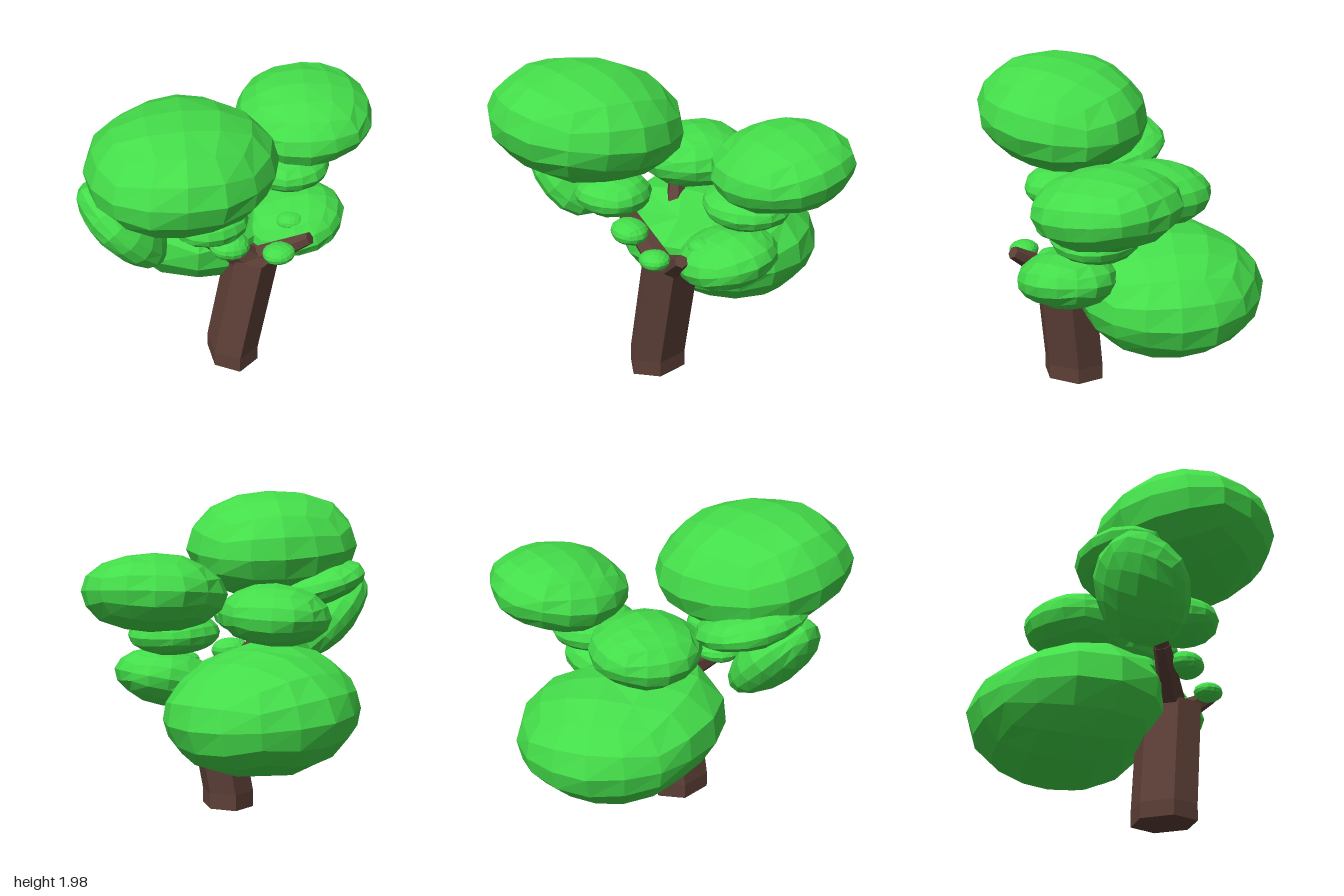
import * as THREE from 'three';
import { mergeVertices } from 'three/addons/utils/BufferGeometryUtils.js';

const bark = new THREE.MeshStandardMaterial({ color: 0x5d4037, flatShading: true });
const leaf = new THREE.MeshStandardMaterial({ color: 0x44dd4a, flatShading: true });
const up = new THREE.Vector3(0, 1, 0);
const bulgeDir = new THREE.Vector3(-0.32, 0.45, 0.83).normalize();

// Gently lumpy sphere made from a subdivided cube, optionally swollen on one side
function leafGeometry(radii, seed, bulge) {
  let geo = new THREE.BoxGeometry(2, 2, 2, 4, 4, 4);
  geo.deleteAttribute('normal');
  geo.deleteAttribute('uv');
  geo = mergeVertices(geo);
  const p = geo.attributes.position;
  const v = new THREE.Vector3();
  for (let i = 0; i < p.count; i++) {
    v.fromBufferAttribute(p, i);
    v.set(...v.toArray().map((c) => Math.tan(c * Math.PI / 4))).normalize();
    const lump = 1 + 0.025 * Math.sin(v.x * 4 + seed * 2.1) * Math.cos(v.z * 5 + v.y * 3 + seed);
    v.applyAxisAngle(up, seed * 0.7);
    const size = lump + bulge * Math.max(0, v.dot(bulgeDir)) ** 3;
    p.setXYZ(i, v.x * radii[0] * size, v.y * radii[1] * size, v.z * radii[2] * size);
  }
  geo.computeVertexNormals();
  return geo;
}

// Tapered limb between two points
function limb(name, from, to, r0, r1) {
  const a = new THREE.Vector3(...from), b = new THREE.Vector3(...to);
  const dir = b.clone().sub(a);
  const mesh = new THREE.Mesh(new THREE.CylinderGeometry(r1, r0, dir.length(), 6), bark);
  mesh.position.copy(a).add(b).multiplyScalar(0.5);
  mesh.quaternion.setFromUnitVectors(up, dir.normalize());
  mesh.name = name;
  return mesh;
}

export function createModel() {
  const tree = new THREE.Group();
  tree.name = 'tree';

  // Hexagonal trunk: short upright foot, then a lean towards +x
  const trunkGeo = new THREE.CylinderGeometry(0.205, 0.205, 0.8, 6, 2);
  const p = trunkGeo.attributes.position;
  for (let i = 0; i < p.count; i++) {
    const y = p.getY(i);
    const lean = y > 0.2 ? 0.1 : -0.03;
    p.setXYZ(i, p.getX(i) * 0.79 + lean, Math.abs(y) < 0.01 ? 0.1 : y + 0.4, p.getZ(i) + 0.205);
  }
  trunkGeo.computeVertexNormals();
  const trunk = new THREE.Mesh(trunkGeo, bark);
  trunk.name = 'trunk';
  tree.add(trunk);

  // Branches reaching into the foliage
  tree.add(
    limb('leftBranch', [0.15, 0.77, 0.25], [0.4, 0.97, 0.4], 0.08, 0.04),
    limb('rightBranch', [0.06, 0.76, 0.25], [-0.26, 1.04, 0.27], 0.085, 0.055),
    limb('rightUpperBranch', [-0.24, 1.02, 0.27], [-0.52, 1.3, 0.27], 0.05, 0.025),
    limb('backBranch', [0.0, 0.74, 0.1], [-0.22, 1.18, -0.15], 0.08, 0.05),
  );

  // Foliage: name, centre, radii, [pitch, yaw, roll], one-sided swelling
  const clumps = [
    ['frontCrown', [-0.39, 1.64, 0.44], [0.59, 0.345, 0.535], [-0.1, Math.PI / 4, -0.05]],
    ['leftCrown', [0.545, 1.42, -0.29], [0.43, 0.235, 0.435], [0.12, 0, 0.05]],
    ['backCrown', [-0.07, 0.7, -0.445], [0.59, 0.365, 0.56], [0, 0, -0.06], 0.36],
    ['backUpperClump', [-0.2, 1.265, -0.28], [0.34, 0.19, 0.345], [0, 0, 0.05]],
    ['rightHangingClump', [-0.71, 1.19, 0.29], [0.345, 0.165, 0.29], [0, 0, -0.85]],
    ['rightFlatClump', [-0.6, 1.4, 0.2], [0.33, 0.13, 0.35], [0, 0, -0.28]],
    ['frontClump', [-0.22, 1.2, 0.38], [0.235, 0.13, 0.23], [0, 0, 0]],
    ['frontLowerClump', [-0.31, 1.13, 0.24], [0.17, 0.08, 0.17], [0, 0, 0]],
    ['frontTuft', [-0.09, 0.975, 0.37], [0.125, 0.075, 0.11], [0, 0, -0.05]],
    ['lowTuft', [0.2, 0.912, 0.43], [0.1, 0.057, 0.09], [0, 0, 0.05]],
    ['leftClump', [0.4, 0.865, 0.025], [0.32, 0.175, 0.31], [0.08, 0, 0.2]],
    ['leftUpperClump', [0.39, 1.16, -0.15], [0.275, 0.13, 0.27], [0, 0, -0.04]],
    ['leftTuft', [0.34, 0.96, 0.18], [0.09, 0.05, 0.075], [0, 0, 0]],
  ];
  clumps.forEach(([name, centre, radii, tilt, bulge = 0], i) => {
    const mesh = new THREE.Mesh(leafGeometry(radii, i + 1, bulge), leaf);
    mesh.name = name;
    mesh.position.set(...centre);
    mesh.rotation.set(...tilt, 'XZY');
    tree.add(mesh);
  });
  return tree;
}
